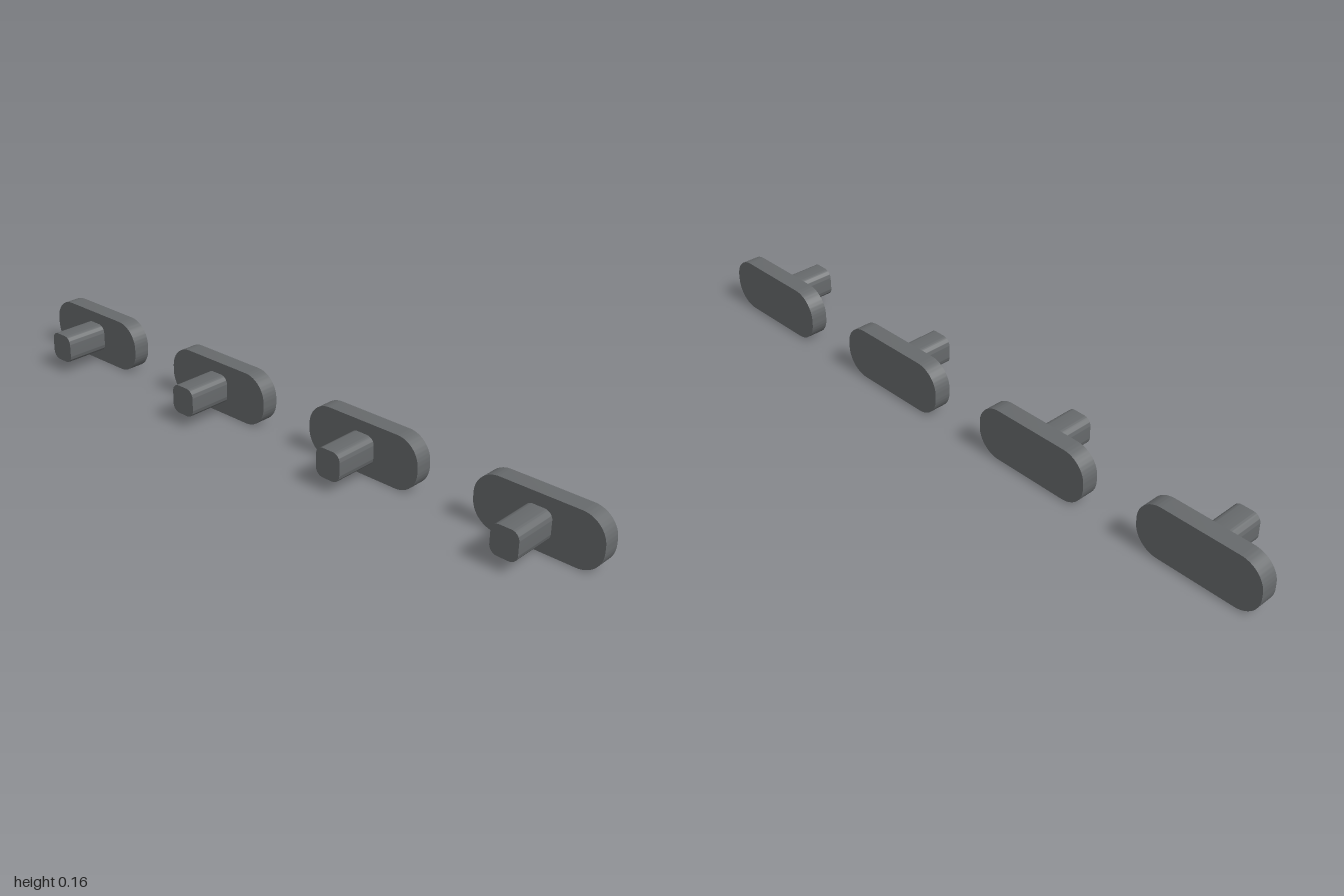
import * as THREE from 'three';
import { toCreasedNormals } from 'three/addons/utils/BufferGeometryUtils.js';

const CENTRE_Y = 0.0775;

// Rounded rectangle centred on the origin, extruded from z0 to z1
function roundedBar(width, height, radius, z0, z1) {
  const x = width / 2, y = height / 2, r = radius;
  const shape = new THREE.Shape();
  shape.absarc(x - r, y - r, r, 0, Math.PI / 2);
  shape.absarc(-x + r, y - r, r, Math.PI / 2, Math.PI);
  shape.absarc(-x + r, -y + r, r, Math.PI, Math.PI * 1.5);
  shape.absarc(x - r, -y + r, r, Math.PI * 1.5, Math.PI * 2);
  shape.closePath();
  const geometry = new THREE.ExtrudeGeometry(shape, {
    depth: z1 - z0, bevelEnabled: false, curveSegments: 10,
  });
  geometry.translate(0, 0, z0);
  return toCreasedNormals(geometry, Math.PI / 6);
}

export function createModel() {
  const model = new THREE.Group();
  model.name = 'buttonSet';
  const material = new THREE.MeshStandardMaterial({ color: 0x66696b });

  const capGeometry = roundedBar(0.37, 0.155, 0.07, -0.092, -0.041);
  const stemGeometry = roundedBar(0.08, 0.085, 0.024, -0.041, 0.092);

  // Four identical buttons in an even row
  for (let i = 0; i < 4; i++) {
    const button = new THREE.Group();
    button.name = `button${i + 1}`;
    button.position.set(-0.815 + i * (1.63 / 3), CENTRE_Y, 0);

    // Wide pill-shaped cap at the back
    const cap = new THREE.Mesh(capGeometry, material);
    cap.name = 'cap';

    // Narrow stem pointing forward
    const stem = new THREE.Mesh(stemGeometry, material);
    stem.name = 'stem';

    button.add(cap, stem);
    model.add(button);
  }
  return model;
}
